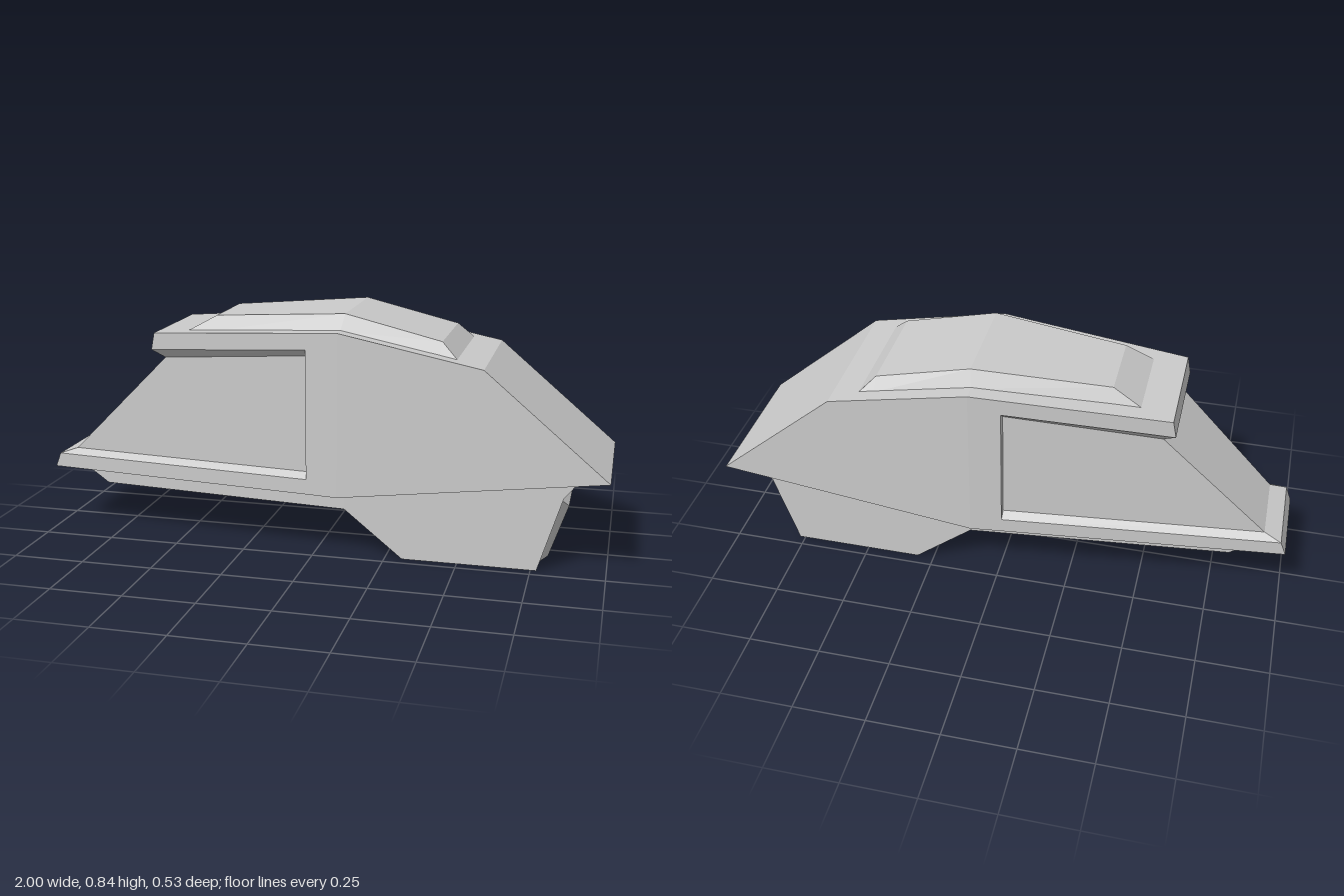
import * as THREE from 'three';

// Half width of the shell: constant in front, tapering towards the tail
const w = (x) => 0.265 - Math.max(0, 0.09 - x) * 0.1037;
// Half-section point on the shell side, optionally set in by some depth
const at = (x, y, inset = 0) => [x, y, w(x) - inset];

// Loft through half sections (points listed bottom to top, sections along +x),
// mirrored across z and closed on all sides
function loft(name, sections, material) {
  const pos = [];
  const mir = (p) => [p[0], p[1], -p[2]];
  const tri = (...pts) => {
    const [a, b, c] = pts.map((p) => new THREE.Vector3(...p));
    if (b.sub(a).cross(c.sub(a)).length() > 1e-8) pos.push(...pts.flat());
  };
  const quad = (a, b, c, d) => { tri(a, b, c); tri(a, c, d); };
  const n = sections[0].length;

  for (let s = 0; s < sections.length - 1; s++) {
    const A = sections[s], B = sections[s + 1];
    for (let i = 0; i < n - 1; i++) {
      quad(A[i], B[i], B[i + 1], A[i + 1]);
      quad(mir(A[i + 1]), mir(B[i + 1]), mir(B[i]), mir(A[i]));
    }
    quad(A[n - 1], B[n - 1], mir(B[n - 1]), mir(A[n - 1]));
    quad(mir(A[0]), mir(B[0]), B[0], A[0]);
  }
  // End caps
  const S = sections[0], E = sections[sections.length - 1];
  for (let i = 0; i < n - 1; i++) {
    quad(S[i], S[i + 1], mir(S[i + 1]), mir(S[i]));
    quad(mir(E[i]), mir(E[i + 1]), E[i + 1], E[i]);
  }

  const geometry = new THREE.BufferGeometry();
  geometry.setAttribute('position', new THREE.Float32BufferAttribute(pos, 3));
  geometry.computeVertexNormals();
  const mesh = new THREE.Mesh(geometry, material);
  mesh.name = name;
  return mesh;
}

export function createModel() {
  const group = new THREE.Group();
  group.name = 'armourPod';
  const grey = new THREE.MeshStandardMaterial({ color: 0xcccccc, flatShading: true });
  const add = (name, sections) => group.add(loft(name, sections, grey));

  // Full-width shell running forward to the sharp nose
  add('frontShell', [
    [at(-0.02, 0.222), at(-0.02, 0.784)],
    [at(0.09, 0.221), at(0.09, 0.791)],
    [at(0.58, 0.283), at(0.58, 0.692)],
    [at(1, 0.336), at(1, 0.336)],
  ]);

  // Tail shell: bottom ledge, recessed side panels and sloped back, roof overhang
  const depth = 0.028;
  add('rearShell', [
    [at(-1, 0.225), at(-0.98, 0.276), at(-0.92, 0.295, depth),
      at(-0.55, 0.66, depth), at(-0.592, 0.69), at(-0.58, 0.75)],
    [at(-0.02, 0.222), at(-0.02, 0.275), at(-0.02, 0.295, depth),
      at(-0.02, 0.702, depth), at(-0.02, 0.727), at(-0.02, 0.784)],
  ]);

  // Raised roof panel with chamfered edges
  add('roofPanel', [
    [[-0.47, 0.755, 0.147], [-0.47, 0.755, 0.147]],
    [[-0.37, 0.76, 0.157], [-0.37, 0.81, 0.129]],
    [[0.09, 0.788, 0.212], [0.1, 0.843, 0.18]],
    [[0.43, 0.719, 0.212], [0.43, 0.763, 0.18]],
    [[0.485, 0.71, 0.212], [0.485, 0.711, 0.212]],
  ]);

  // Narrower belly with a deep block under the nose
  const gap = 0.053;
  add('belly', [
    [at(-0.9, 0.224, gap), at(-0.9, 0.23, gap)],
    [at(-0.81, 0.165, gap), at(-0.81, 0.24, gap)],
    [at(0.105, 0.165, gap), at(0.105, 0.24, gap)],
    [at(0.31, 0, gap), at(0.31, 0.27, gap)],
    [at(0.77, 0, gap), at(0.77, 0.315, gap)],
    [at(0.85, 0.26, gap), at(0.85, 0.32, gap)],
    [at(0.9, 0.323, gap), at(0.9, 0.326, gap)],
  ]);

  // Chamfered plate on the front of the belly
  add('frontPlate', [
    [[0.777, 0.022, 0.18], [0.845, 0.243, 0.18]],
    [[0.803, 0.03, 0.14], [0.866, 0.215, 0.14]],
  ]);

  return group;
}
